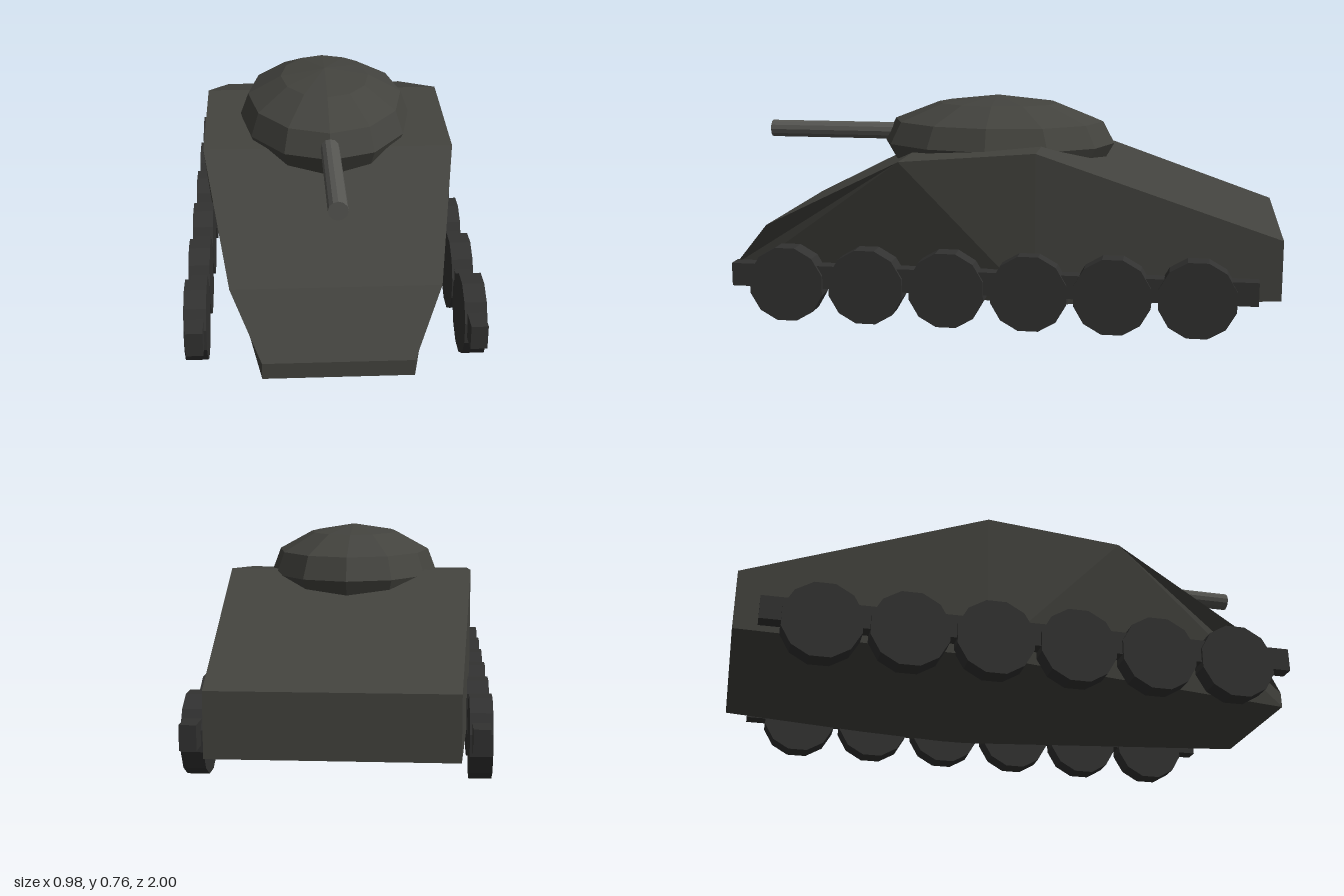
import * as THREE from 'three';

const paint = (color) => new THREE.MeshStandardMaterial({ color, flatShading: true });
const hullPaint = paint(0x43433e);
const runningGearPaint = paint(0x323231);
const gunPaint = paint(0x565652);

function add(parent, name, geometry, material, x = 0, y = 0, z = 0) {
  const mesh = new THREE.Mesh(geometry, material);
  mesh.name = name;
  mesh.position.set(x, y, z);
  parent.add(mesh);
  return mesh;
}

// Faceted hull: one side's outline, mirrored, joined by full-width strips
function hullGeometry() {
  const outline = [
    [0.24, 0.08, 1], [0.24, 0.135, 1], [0.34, 0.31, 0.84], [0.435, 0.57, 0.32],
    [0.435, 0.61, -0.16], [0.39, 0.325, -1], [0.39, 0.115, -1], [0.435, 0.08, -0.16],
  ];
  const sideFaces = [[1, 3, 2], [0, 3, 1], [0, 7, 3], [3, 7, 4], [4, 6, 5], [4, 7, 6]];
  const n = outline.length;
  const vertices = [...outline, ...outline.map(([x, y, z]) => [-x, y, z])].flat();
  const faces = [];
  for (const [a, b, c] of sideFaces) faces.push(a, b, c, a + n, c + n, b + n);
  for (let i = 0; i < n; i++) {
    const j = (i + 1) % n;
    faces.push(i, j, j + n, i, j + n, i + n);
  }
  const indexed = new THREE.BufferGeometry();
  indexed.setAttribute('position', new THREE.Float32BufferAttribute(vertices, 3));
  indexed.setIndex(faces);
  const geometry = indexed.toNonIndexed();
  geometry.computeVertexNormals();
  return geometry;
}

export function createModel() {
  const model = new THREE.Group();
  model.name = 'tank';

  add(model, 'hull', hullGeometry(), hullPaint);

  // Oval domed turret, sunk into the deck
  const profile = [[0, 0.48], [0.265, 0.48], [0.31, 0.59], [0.28, 0.67], [0.16, 0.736], [0, 0.764]];
  const dome = new THREE.LatheGeometry(profile.map(([r, y]) => new THREE.Vector2(r, y)), 12);
  dome.scale(1, 1, 1.41);
  add(model, 'turret', dome, hullPaint, 0, 0, 0.037);

  // Gun barrel
  const barrel = new THREE.CylinderGeometry(0.032, 0.032, 0.6, 12).rotateX(Math.PI / 2);
  add(model, 'gunBarrel', barrel, gunPaint, 0, 0.62, 0.62);

  // Running gear on both sides: a long beam and six road wheels
  const beam = new THREE.BoxGeometry(0.055, 0.082, 1.84);
  const wheel = new THREE.CylinderGeometry(0.136, 0.136, 0.073, 12)
    .rotateY(Math.PI / 12).rotateZ(Math.PI / 2);
  for (const [label, side] of [['left', 1], ['right', -1]]) {
    const gear = new THREE.Group();
    gear.name = label + 'RunningGear';
    add(gear, label + 'Beam', beam, runningGearPaint, side * 0.4535, 0.159, 0);
    for (let i = 0; i < 6; i++) {
      add(gear, label + 'RoadWheel' + (i + 1), wheel, runningGearPaint, side * 0.4545, 0.1314, 0.72 - i * 0.2875);
    }
    model.add(gear);
  }
  return model;
}
